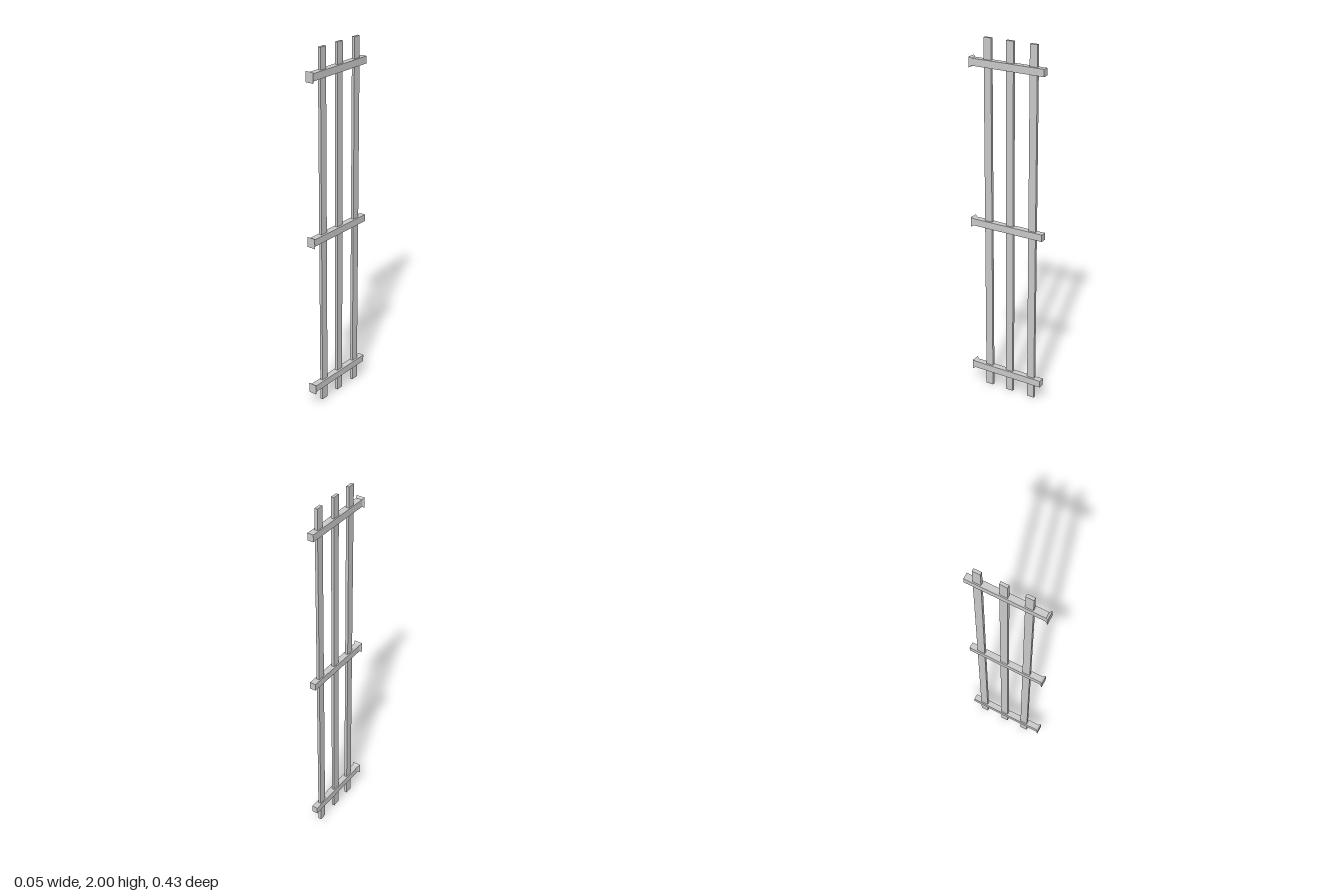
import * as THREE from 'three';

const material = new THREE.MeshStandardMaterial({ color: 0xcccccc, flatShading: true });

// Square bar along z whose front end flares out to a wider flat face
function railGeometry() {
  const back = -0.217, neck = 0.204, front = 0.217;
  const geometry = new THREE.BoxGeometry(0.034, 0.039, 2, 1, 1, 2);
  const p = geometry.attributes.position;
  for (let i = 0; i < p.count; i++) {
    const z = p.getZ(i);
    if (z > 0.5) p.setXYZ(i, Math.sign(p.getX(i)) * 0.0245, Math.sign(p.getY(i)) * 0.028, front);
    else p.setZ(i, z < -0.5 ? back : neck);
  }
  geometry.computeVertexNormals();
  return geometry;
}

export function createModel() {
  const model = new THREE.Group();
  const add = (name, geometry, x, y, z) => {
    const mesh = new THREE.Mesh(geometry, material);
    mesh.name = name;
    mesh.position.set(x, y, z);
    model.add(mesh);
  };

  // Three flat vertical slats
  const slat = new THREE.BoxGeometry(0.016, 2, 0.043);
  [['frontSlat', 0.117], ['middleSlat', -0.014], ['backSlat', -0.151]]
    .forEach(([name, z]) => add(name, slat, -0.003, 1, z));

  // Three cross rails threaded by the slats
  const rail = railGeometry();
  [['lowerRail', 0.106], ['middleRail', 0.987], ['upperRail', 1.867]]
    .forEach(([name, y]) => add(name, rail, -0.0005, y, 0));

  return model;
}
